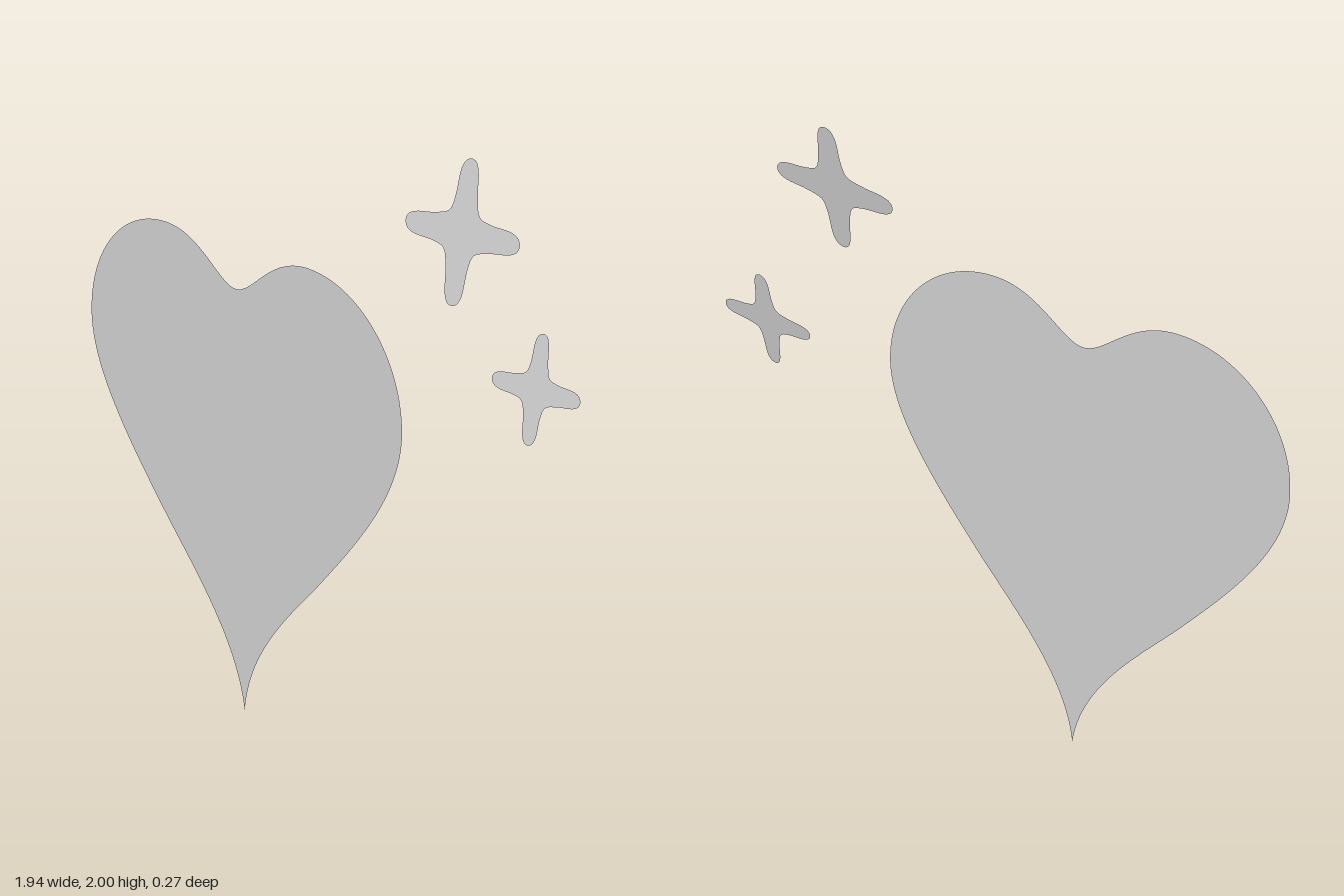
import * as THREE from 'three';

const material = new THREE.MeshStandardMaterial({ color: 0xcccccc, side: THREE.DoubleSide });

// Flat sheet cut from a shape, leaning forward or back by "lean" per unit of height
function sheet(name, shape, segments, lean, x, y, z) {
  const geometry = new THREE.ShapeGeometry(shape, segments);
  const p = geometry.attributes.position;
  for (let i = 0; i < p.count; i++) p.setZ(i, p.getY(i) * lean);
  geometry.computeVertexNormals();
  const mesh = new THREE.Mesh(geometry, material);
  mesh.name = name;
  mesh.position.set(x, y, z);
  return mesh;
}

// Heart outline: one half from notch to tip, mirrored for the other half
function heartShape() {
  const half = [
    [0, 1.447], [0.08, 1.447], [0.16, 1.59], [0.331, 1.59],
    [0.554, 1.59], [0.735, 1.406], [0.735, 1.18],
    [0.735, 0.98], [0.54, 0.765], [0.362, 0.563],
    [0.2, 0.39], [0.03, 0.22], [0, 0],
  ];
  const mirrored = half.map(([x, y]) => [-x, y]).reverse();
  const shape = new THREE.Shape().moveTo(...half[0]);
  for (const side of [half, mirrored]) {
    for (let i = 1; i < side.length; i += 3) {
      shape.bezierCurveTo(...side[i], ...side[i + 1], ...side[i + 2]);
    }
  }
  return shape;
}

// Rounded four-armed sparkle: one quarter repeated, with a slight skew
function sparkleShape(halfWidth, halfHeight) {
  const quarter = [
    [1, 0], [0.965, 0.09], [0.85, 0.155], [0.45, 0.195], [0.27, 0.26],
    [0.19, 0.5], [0.14, 0.85], [0.085, 0.965],
  ];
  const points = [];
  for (let k = 0; k < 4; k++) {
    const c = [1, 0, -1, 0][k], s = [0, 1, 0, -1][k];
    for (const [u, v] of quarter) {
      const x = (c * u - s * v) * halfWidth;
      const y = (s * u + c * v) * halfHeight;
      points.push(new THREE.Vector3(x + 0.02 * y, y + 0.035 * x, 0));
    }
  }
  const curve = new THREE.CatmullRomCurve3(points, true, 'centripetal');
  return new THREE.Shape(curve.getPoints(160).slice(0, -1).map(p => new THREE.Vector2(p.x, p.y)));
}

export function createModel() {
  const group = new THREE.Group();
  group.name = 'heartWithSparkles';
  group.add(
    sheet('heart', heartShape(), 32, 0.0126, -0.238, 0, 0.11),
    sheet('largeSparkle', sparkleShape(0.225, 0.211), 1, -0.155, 0.61, 1.789, 0.01),
    sheet('smallSparkle', sparkleShape(0.172, 0.165), 1, -0.15, 0.796, 1.335, -0.116),
  );
  return group;
}
